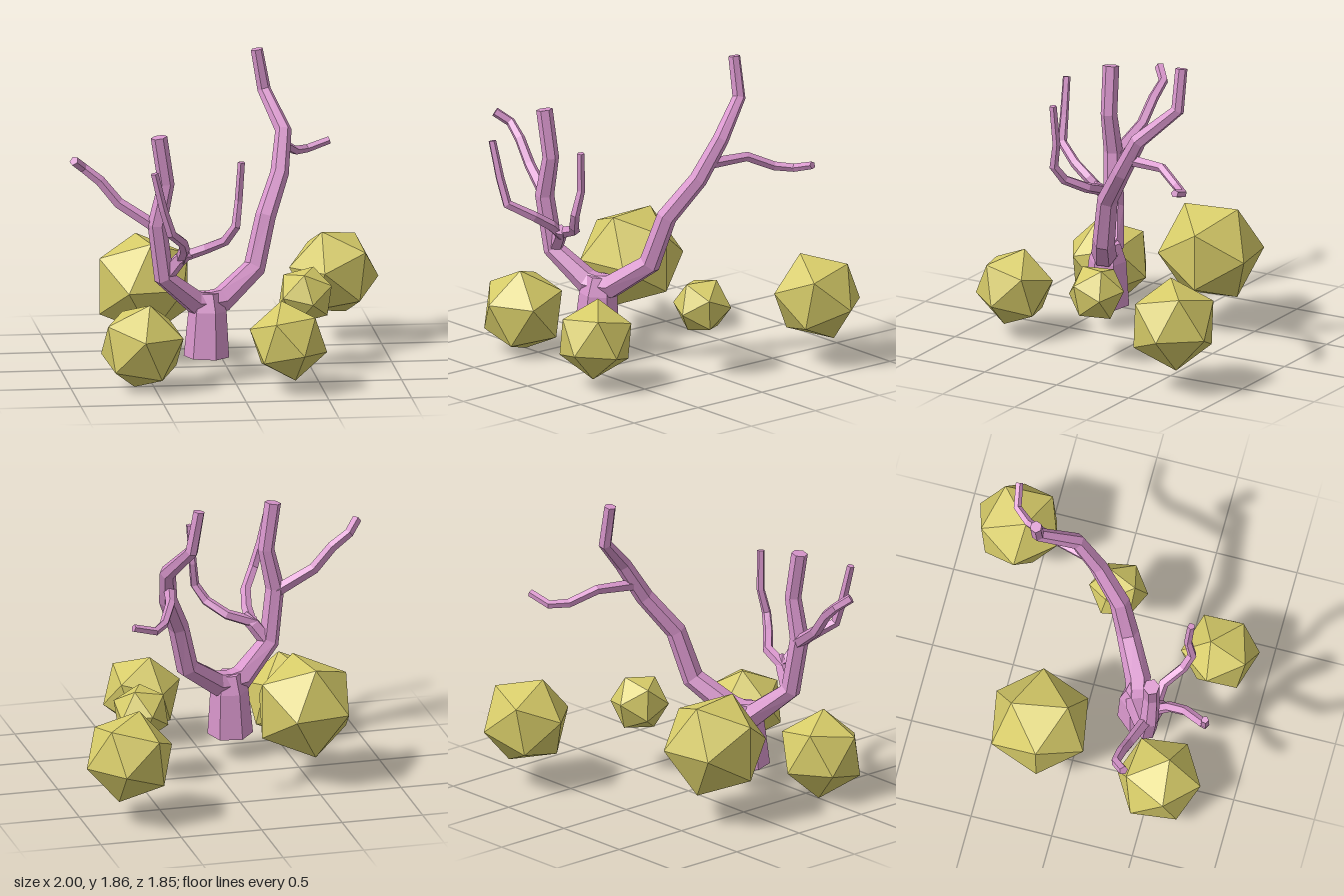
import * as THREE from 'three';

const bark = new THREE.MeshStandardMaterial({ color: 0xd896cc, flatShading: true });
const leaf = new THREE.MeshStandardMaterial({ color: 0xd6cb68, flatShading: true });
const vec = (p) => new THREE.Vector3(p[0], p[1], p[2]);

// Faceted limb: polygon rings swept along [x, y, z, radius] points, capped at both ends
function limb(name, sides, points) {
  const path = points.map(vec);
  const last = path.length - 1;
  const normal = new THREE.Vector3(0.31, 0.05, 0.95);
  const rings = path.map((p, i) => {
    const t = new THREE.Vector3();
    if (i > 0) t.add(p.clone().sub(path[i - 1]).normalize());
    if (i < last) t.add(path[i + 1].clone().sub(p).normalize());
    t.normalize();
    normal.addScaledVector(t, -normal.dot(t)).normalize();
    const side = new THREE.Vector3().crossVectors(t, normal);
    return Array.from({ length: sides }, (_, j) => {
      const a = (j / sides) * Math.PI * 2;
      return p.clone()
        .addScaledVector(normal, Math.cos(a) * points[i][3])
        .addScaledVector(side, Math.sin(a) * points[i][3]);
    });
  });
  const tris = [];
  for (let j = 0; j < sides; j++) {
    const k = (j + 1) % sides;
    for (let i = 0; i < last; i++) {
      const [a, b, c, d] = [rings[i][j], rings[i][k], rings[i + 1][k], rings[i + 1][j]];
      tris.push(a, b, c, a, c, d);
    }
    tris.push(path[0], rings[0][k], rings[0][j]);
    tris.push(path[last], rings[last][j], rings[last][k]);
  }
  const geometry = new THREE.BufferGeometry().setFromPoints(tris);
  geometry.computeVertexNormals();
  const mesh = new THREE.Mesh(geometry, bark);
  mesh.name = name;
  return mesh;
}

// Orthonormal basis spanned by two neighbouring corner directions
function cornerBasis(a, b) {
  const x = vec(a).normalize();
  const z = new THREE.Vector3().crossVectors(x, vec(b)).normalize();
  return new THREE.Matrix4().makeBasis(x, new THREE.Vector3().crossVectors(z, x), z);
}

// Icosahedral clump, turned so two neighbouring corners point along a and b
function clump(name, centre, radius, a, b) {
  const mesh = new THREE.Mesh(new THREE.IcosahedronGeometry(radius, 0), leaf);
  const phi = (1 + Math.sqrt(5)) / 2;
  const source = cornerBasis([-1, phi, 0], [1, phi, 0]).transpose();
  mesh.quaternion.setFromRotationMatrix(cornerBasis(a, b).multiply(source));
  mesh.position.copy(vec(centre));
  mesh.name = name;
  return mesh;
}

export function createModel() {
  const model = new THREE.Group();
  model.name = 'tree';

  // Trunk and the two forked main limbs
  model.add(
    limb('trunk', 6, [
      [-0.16, 0.15, 0.33, 0.137], [-0.152, 0.43, 0.32, 0.115], [-0.15, 0.54, 0.315, 0.075],
    ]),
    limb('rightLimb', 6, [
      [-0.13, 0.48, 0.31, 0.07], [-0.23, 0.49, 0.34, 0.078], [-0.43, 0.67, 0.44, 0.062],
      [-0.475, 1.0, 0.47, 0.058], [-0.42, 1.25, 0.468, 0.05], [-0.465, 1.54, 0.48, 0.05],
    ]),
    limb('leftLimb', 6, [
      [-0.17, 0.48, 0.32, 0.07], [-0.06, 0.49, 0.29, 0.078], [0.15, 0.655, 0.17, 0.068],
      [0.225, 0.95, 0.10, 0.062], [0.33, 1.18, -0.06, 0.056], [0.37, 1.41, -0.2, 0.05],
      [0.28, 1.615, -0.42, 0.041], [0.235, 1.865, -0.42, 0.037],
    ]),
  );

  // Thin side branches
  model.add(
    limb('leftTwig', 5, [
      [0.34, 1.27, -0.13, 0.036], [0.40, 1.28, -0.38, 0.03], [0.48, 1.21, -0.53, 0.028],
      [0.56, 1.2, -0.62, 0.026], [0.70, 1.243, -0.645, 0.024],
    ]),
    limb('rightTwig', 5, [
      [-0.46, 0.97, 0.46, 0.04], [-0.70, 1.125, 0.40, 0.035], [-0.81, 1.26, 0.385, 0.033],
      [-0.91, 1.34, 0.375, 0.03], [-0.975, 1.4, 0.44, 0.03],
    ]),
    limb('frontStem', 5, [
      [-0.43, 0.66, 0.43, 0.05], [-0.34, 0.78, 0.46, 0.044], [-0.29, 0.83, 0.5, 0.036],
    ]),
    limb('frontInnerTwig', 5, [
      [-0.35, 0.79, 0.46, 0.036], [-0.18, 0.85, 0.48, 0.033], [-0.075, 0.915, 0.575, 0.031],
      [-0.015, 1.01, 0.615, 0.029], [0.005, 1.16, 0.585, 0.025], [0.02, 1.4, 0.6, 0.023],
    ]),
    limb('frontOuterTwig', 5, [
      [-0.33, 0.78, 0.46, 0.036], [-0.32, 0.86, 0.55, 0.034], [-0.345, 0.93, 0.66, 0.032],
      [-0.43, 1.015, 0.8, 0.031], [-0.48, 1.17, 0.815, 0.027], [-0.535, 1.395, 0.83, 0.024],
    ]),
  );

  // Foliage clumps around the foot of the tree
  model.add(
    clump('frontRightClump', [-0.575, 0.275, 0.555], 0.27, [0.04, 0.26, 0.055], [-0.01, 0.065, 0.257]),
    clump('frontLeftClump', [0.29, 0.32, 0.71], 0.243, [-0.037, 0.235, -0.05], [-0.225, 0.064, -0.025]),
    clump('backRightClump', [-0.475, 0.487, -0.21], 0.325, [0.028, 0.28, 0.168], [-0.028, 0.27, -0.168]),
    clump('smallClump', [0.475, 0.445, 0.03], 0.18, [0.055, 0.155, -0.065], [-0.03, 0.13, 0.128]),
    clump('backLeftClump', [0.73, 0.43, -0.655], 0.28, [-0.08, 0.26, 0.065], [-0.26, 0.06, 0.04]),
  );
  return model;
}
